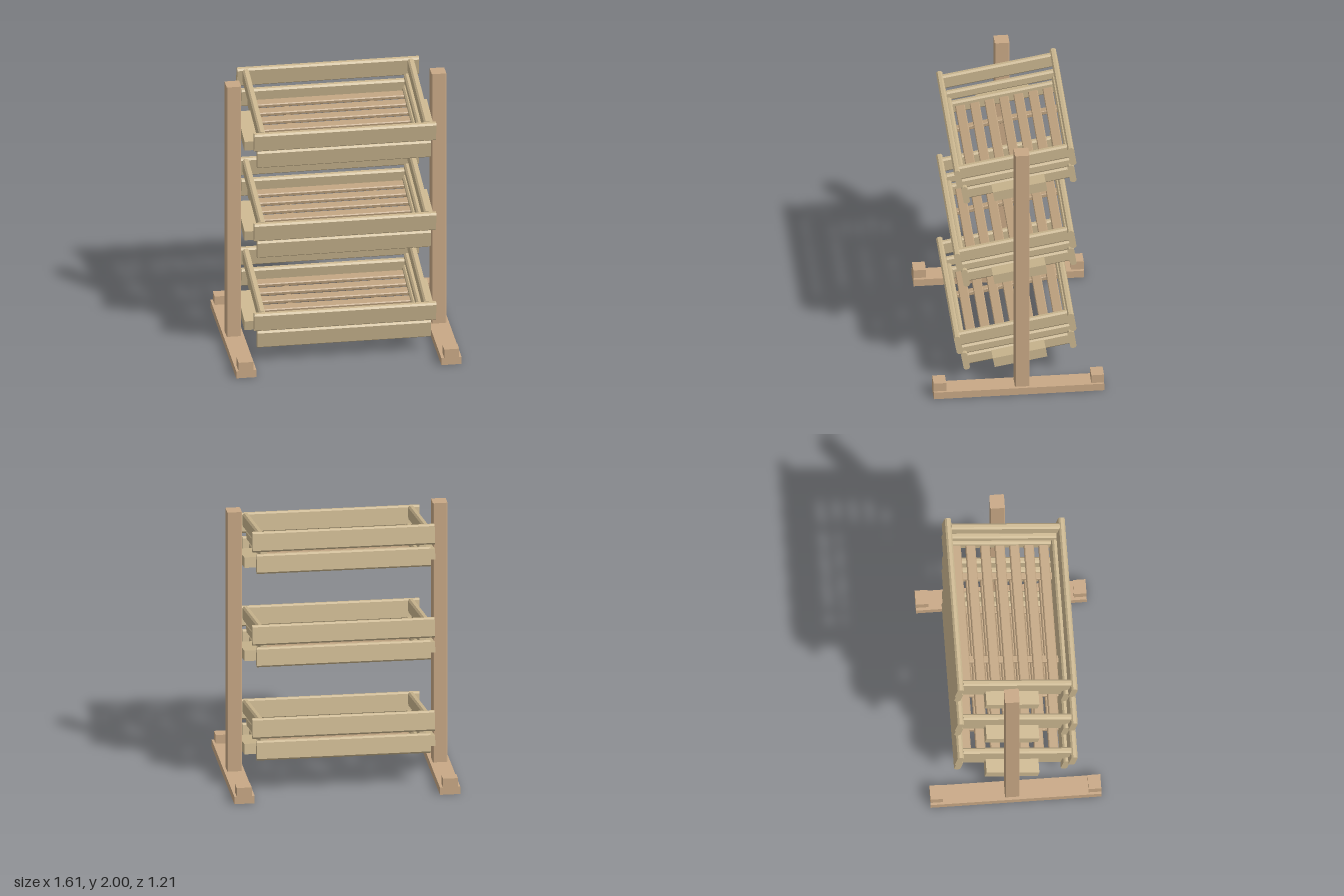
import * as THREE from 'three';

const frameWood = new THREE.MeshStandardMaterial({ color: 0xc8a885, flatShading: true });
const plankWood = new THREE.MeshStandardMaterial({ color: 0xcab68f, flatShading: true });
const slatWood = new THREE.MeshStandardMaterial({ color: 0xbfa380, flatShading: true });

// Chamfered beam: w x h section, extruded along the chosen axis and centred
function beam(name, w, h, length, axis, material, chamfer = 0.012) {
  const a = w / 2, b = h / 2, c = chamfer;
  const section = new THREE.Shape([
    [-a + c, -b], [a - c, -b], [a, -b + c], [a, b - c],
    [a - c, b], [-a + c, b], [-a, b - c], [-a, -b + c],
  ].map(([x, y]) => new THREE.Vector2(x, y)));
  const geometry = new THREE.ExtrudeGeometry(section, { depth: length, bevelEnabled: false });
  geometry.translate(0, 0, -length / 2);
  if (axis === 'x') geometry.rotateY(Math.PI / 2);
  if (axis === 'y') geometry.rotateX(-Math.PI / 2);
  const mesh = new THREE.Mesh(geometry, material);
  mesh.name = name;
  return mesh;
}

function box(name, w, h, d, material) {
  const mesh = new THREE.Mesh(new THREE.BoxGeometry(w, h, d), material);
  mesh.name = name;
  return mesh;
}

function put(parent, mesh, x, y, z) {
  mesh.position.set(x, y, z);
  parent.add(mesh);
}

// Slatted crate, modelled level
function createTray() {
  const tray = new THREE.Group();
  tray.name = 'tray';

  for (const s of [-1, 1]) {
    const end = s > 0 ? 'front' : 'back';
    put(tray, beam(end + 'UpperPlank', 0.045, 0.145, 1.30, 'x', plankWood), 0, 0.163, s * 0.409);
    put(tray, beam(end + 'LowerPlank', 0.045, 0.14, 1.24, 'x', plankWood), 0, 0, s * 0.384);

    const side = s > 0 ? 'left' : 'right';
    put(tray, beam(side + 'UpperRail', 0.045, 0.105, 0.78, 'z', plankWood), s * 0.59, 0.182, 0);
    put(tray, beam(side + 'MiddleRail', 0.045, 0.07, 0.78, 'z', plankWood), s * 0.567, 0.075, 0);
    put(tray, beam(side + 'LowerRail', 0.045, 0.09, 0.73, 'z', plankWood), s * 0.553, -0.018, 0);

    // Block joining the tray to the post
    put(tray, box(side + 'MountBlock', 0.11, 0.075, 0.38, plankWood), s * 0.625, -0.02, 0);
    // Bearer under the slats
    put(tray, beam(side + 'Bearer', 0.05, 0.03, 0.73, 'z', slatWood, 0.004), s * 0.313, -0.05, 0);
  }

  for (let i = 0; i < 7; i++) {
    put(tray, beam('floorSlat', 0.07, 0.03, 1.1, 'x', slatWood, 0.006), 0, -0.02, -0.318 + i * 0.105);
  }
  return tray;
}

export function createModel() {
  const model = new THREE.Group();
  model.name = 'tieredCrateStand';

  // Posts and feet
  for (const s of [-1, 1]) {
    const side = s > 0 ? 'left' : 'right';
    put(model, beam(side + 'Post', 0.104, 0.104, 1.95, 'y', frameWood, 0.006), s * 0.733, 1.025, -0.025);
    put(model, box(side + 'Foot', 0.145, 0.055, 1.21, frameWood), s * 0.733, 0.0275, 0);
    for (const e of [-1, 1]) {
      put(model, box(side + 'FootBlock', 0.107, 0.065, 0.09, frameWood), s * 0.735, 0.0875, e * 0.56);
    }
  }

  // Three trays tipped toward the front
  for (let i = 0; i < 3; i++) {
    const tray = createTray();
    tray.position.set(0, 0.252 + i * 0.7, -0.016);
    tray.rotation.x = THREE.MathUtils.degToRad(10);
    model.add(tray);
  }
  return model;
}
